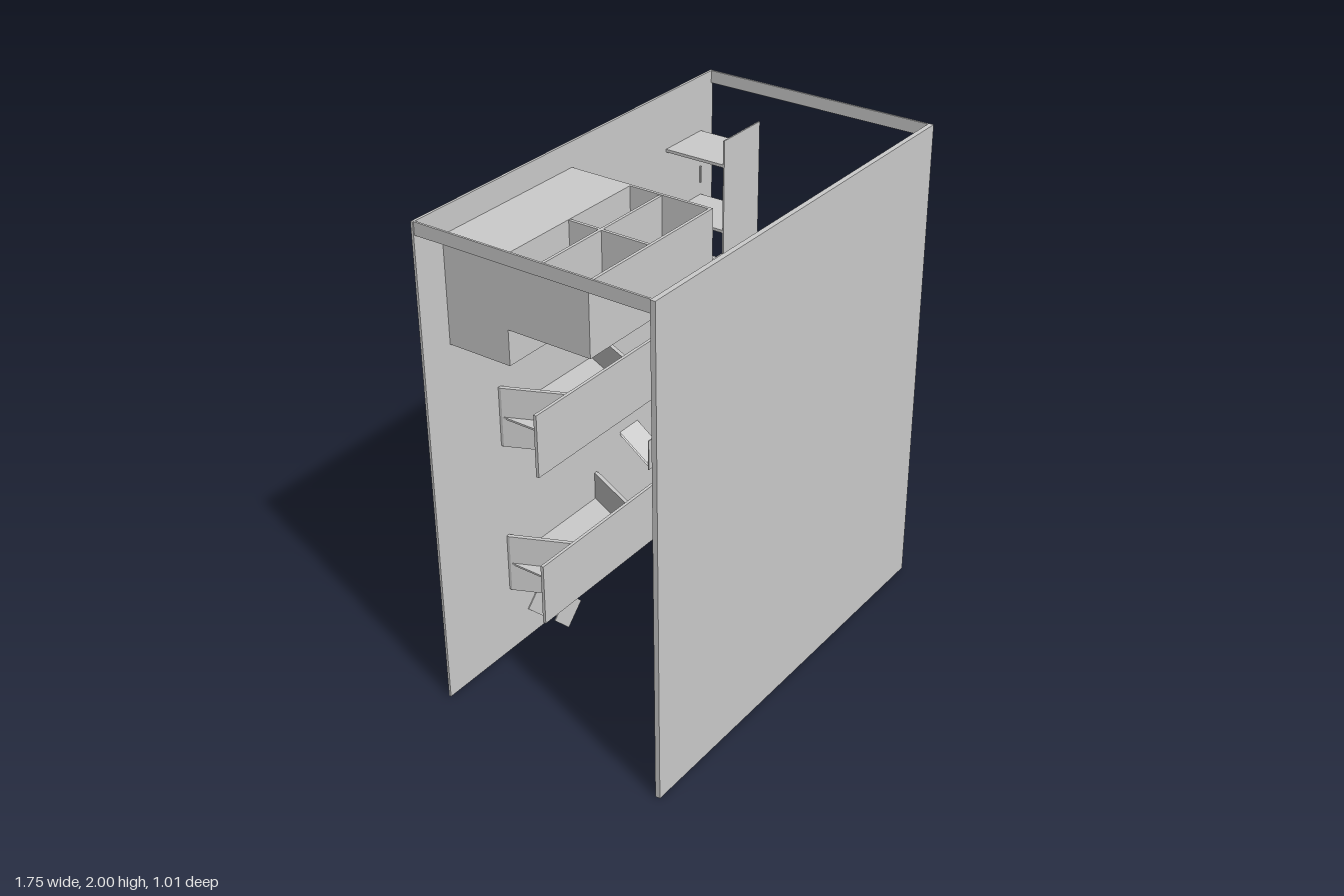
import * as THREE from 'three';

const material = new THREE.MeshStandardMaterial({ color: 0xcccccc, flatShading: true, side: THREE.DoubleSide });

export function createModel() {
  const model = new THREE.Group();

  const add = (name, geometry, parent = model) => {
    const mesh = new THREE.Mesh(geometry, material);
    mesh.name = name;
    parent.add(mesh);
    return mesh;
  };
  const group = (name) => {
    const g = new THREE.Group();
    g.name = name;
    model.add(g);
    return g;
  };
  // Box given by its lower and upper limits on each axis
  const box = (name, [x0, x1], [y0, y1], [z0, z1], parent) => {
    const g = new THREE.BoxGeometry(x1 - x0, y1 - y0, z1 - z0);
    g.translate((x0 + x1) / 2, (y0 + y1) / 2, (z0 + z1) / 2);
    return add(name, g, parent);
  };
  // Thin four-cornered sheet
  const sheet = (name, corners, parent) => {
    const g = new THREE.BufferGeometry();
    g.setAttribute('position', new THREE.Float32BufferAttribute(corners.flat(), 3));
    g.setIndex([0, 1, 2, 0, 2, 3]);
    g.computeVertexNormals();
    return add(name, g, parent);
  };

  // Room: two large walls tied by narrow strips at the ends
  const room = group('room');
  box('frontWall', [-0.875, 0.872], [0, 2], [0.48, 0.5], room);
  box('backWall', [-0.875, 0.872], [0, 2], [-0.502, -0.492], room);
  for (const x of [-0.867, 0.867]) {
    box('topStrip', [x - 0.004, x + 0.004], [1.95, 2], [-0.5, 0.5], room);
  }
  box('bottomStrip', [0.863, 0.871], [0.01, 0.05], [-0.5, 0.5], room);

  // Hanging cabinet with stepped sides and four open bins
  const cabinet = group('cabinet');
  const side = new THREE.Shape([
    [-0.5, 1.48], [-0.22, 1.48], [-0.22, 1.62], [0.13, 1.62], [0.13, 1.9], [-0.5, 1.9],
  ].map(([z, y]) => new THREE.Vector2(-z, y)));
  for (const x of [-0.738, -0.042]) {
    const g = new THREE.ExtrudeGeometry(side, { depth: 0.012, bevelEnabled: false });
    g.rotateY(Math.PI / 2);
    g.translate(x, 0, 0);
    add('cabinetSide', g, cabinet);
  }
  box('cabinetTop', [-0.738, -0.03], [1.888, 1.9], [-0.507, -0.222], cabinet);
  box('cabinetFront', [-0.735, -0.033], [1.48, 1.9], [-0.232, -0.22], cabinet);
  box('binFront', [-0.738, -0.03], [1.62, 1.9], [0.12, 0.132], cabinet);
  box('binDividerAcross', [-0.735, -0.033], [1.62, 1.898], [-0.091, -0.079], cabinet);
  box('binDividerMiddle', [-0.394, -0.382], [1.62, 1.898], [-0.222, 0.125], cabinet);

  // Shelf units on the back wall
  const shelves = group('shelfUnit');
  const shelf = (y, z0, z1) => box('shelf', [0.556, 0.792], [y - 0.006, y + 0.006], [z0, z1], shelves);
  box('upperFacePanel', [0.556, 0.8], [1.37, 1.87], [-0.224, -0.218], shelves);
  for (const y of [1.765, 1.49]) shelf(y, -0.492, -0.22);
  box('middleFacePanel', [0.556, 0.8], [0.59, 1.32], [-0.314, -0.307], shelves);
  for (const y of [1.23, 0.96, 0.685]) shelf(y, -0.492, -0.31);
  for (const y of [1.187, 1.065, 0.87, 0.748]) shelf(y, -0.31, 0.235);
  box('outerFacePanel', [0.556, 0.792], [0.69, 1.24], [0.232, 0.239], shelves);
  for (const y of [1.55, 1.07]) {
    box('wallCleat', [0.784, 0.792], [y, y + 0.07], [-0.492, -0.486], shelves);
  }

  // Two wall consoles: wide face board, middle plate and slanted sides
  const mid = -0.22;
  for (const y of [0.283, 0.94]) {
    const console_ = group('wallConsole');
    box('consoleFace', [2 * mid - 0.15, 0.15], [y, y + 0.262], [-0.254, -0.241], console_);
    box('consolePlate', [2 * mid - 0.06, 0.06], [y + 0.126, y + 0.134], [-0.495, -0.25], console_);
    for (const s of [-1, 1]) {
      const plan = new THREE.Shape([
        [-0.06, -0.25], [-0.042, -0.25], [0.062, -0.48], [0.062, -0.495], [0.05, -0.495],
      ].map(([x, z]) => new THREE.Vector2(s * (x - mid), -z)));
      const g = new THREE.ExtrudeGeometry(plan, { depth: 0.25, bevelEnabled: false });
      g.rotateX(-Math.PI / 2);
      g.translate(mid, y + 0.006, 0);
      add('consoleSide', g, console_);
    }
  }

  // Upper bracket: sloping plate behind an upright lip
  const upper = group('upperBracket');
  for (const d of [0, 0.012]) {
    sheet('slopingPlate', [
      [0.24, 0.51 + d, -0.353], [0.36, 0.51 + d, -0.353],
      [0.34, 0.635 + d, -0.49], [0.22, 0.635 + d, -0.49],
    ], upper);
  }
  box('bracketLip', [0.23, 0.358], [0.51, 0.648], [-0.356, -0.352], upper);
  box('bracketFoot', [0.34, 0.358], [0.505, 0.525], [-0.491, -0.485], upper);

  // Lower bracket: two upright diamond plates joined by a sloping strip
  const lower = group('lowerBracket');
  for (const z of [-0.354, -0.488]) {
    const g = new THREE.BoxGeometry(0.118, 0.118, 0.004);
    g.rotateZ(Math.PI / 4);
    g.translate(-0.32, 0.133, z);
    add('diamondPlate', g, lower);
  }
  sheet('slopingStrip', [
    [-0.32, 0.215, -0.354], [-0.38, 0.15, -0.354],
    [-0.32, 0.05, -0.488], [-0.26, 0.12, -0.488],
  ], lower);

  return model;
}
